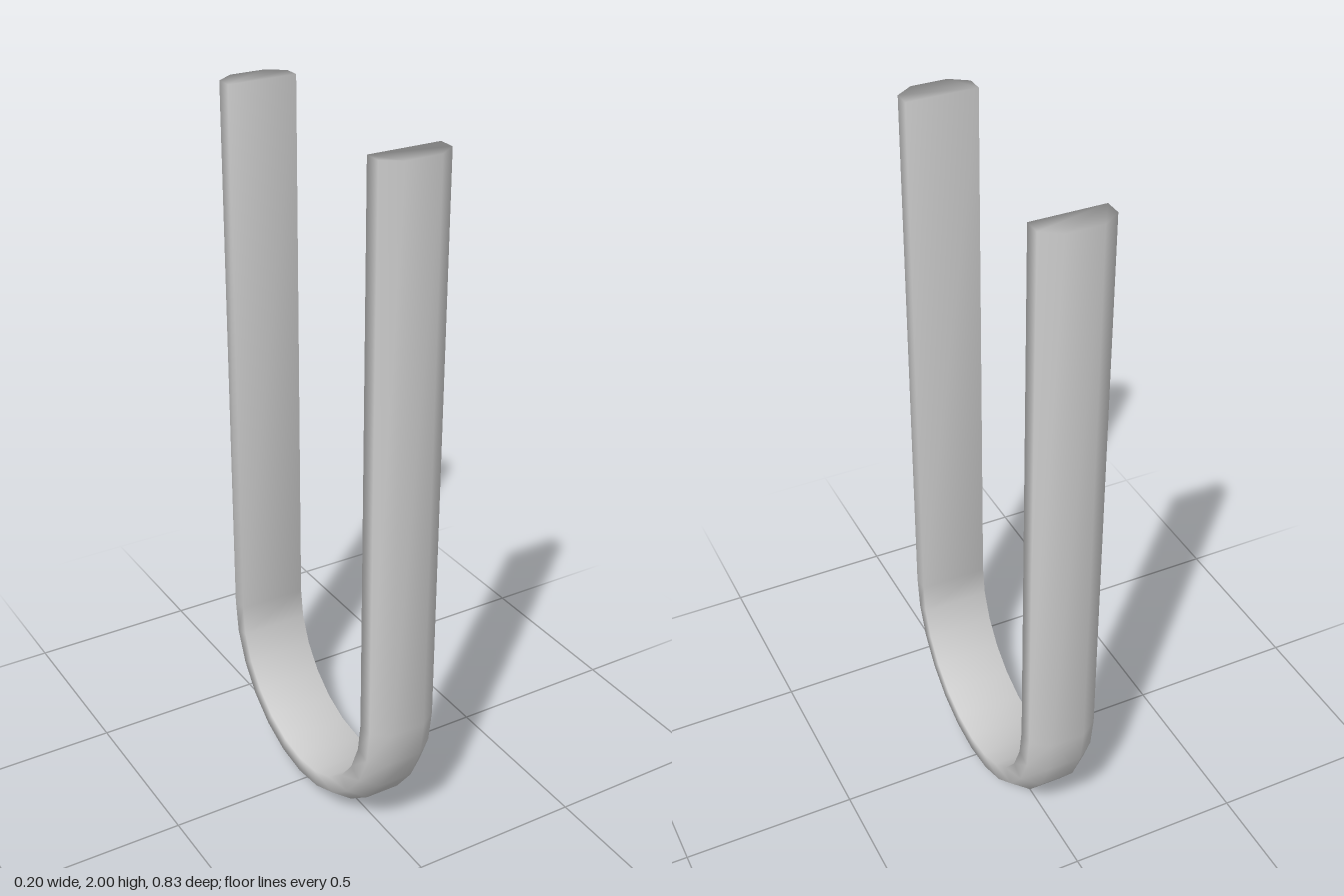
import * as THREE from 'three';

// Sweeps a closed section (x, distance from the bend axis) along a U-shaped path
function sweepU(section, bendY, topY, bendSteps) {
  const n = section.length;
  const positions = [];
  const index = [];
  const addRing = (angle, y) => {
    for (const [x, r] of section) {
      positions.push(x, y - r * Math.sin(angle), r * Math.cos(angle));
    }
  };

  // Front leg, half-circle bend, back leg
  addRing(0, topY);
  for (let i = 0; i <= bendSteps; i++) addRing((Math.PI * i) / bendSteps, bendY);
  addRing(Math.PI, topY);

  // Walls
  const rings = bendSteps + 3;
  for (let i = 0; i < rings - 1; i++) {
    for (let j = 0; j < n; j++) {
      const a = i * n + j;
      const b = i * n + ((j + 1) % n);
      index.push(a, b, b + n, a, b + n, a + n);
    }
  }

  // End caps share their corners with the walls, so shading stays smooth
  const last = (rings - 1) * n;
  for (let j = 1; j < n - 1; j++) {
    index.push(0, j + 1, j);
    index.push(last, last + j, last + j + 1);
  }

  const geometry = new THREE.BufferGeometry();
  geometry.setAttribute('position', new THREE.Float32BufferAttribute(positions, 3));
  geometry.setIndex(index);
  geometry.computeVertexNormals();
  return geometry;
}

export function createModel() {
  const group = new THREE.Group();
  group.name = 'uBar';

  // Flat on the inside, chamfered on the outside
  const outer = 0.417;
  const section = [
    [-0.1, 0.335], [0.1, 0.335], [0.1, 0.382],
    [0.05, outer], [-0.05, outer], [-0.1, 0.382],
  ];

  const bar = new THREE.Mesh(
    sweepU(section, outer, 2, 12),
    new THREE.MeshStandardMaterial({ color: 0xcccccc })
  );
  bar.name = 'bentBar';
  group.add(bar);
  return group;
}
